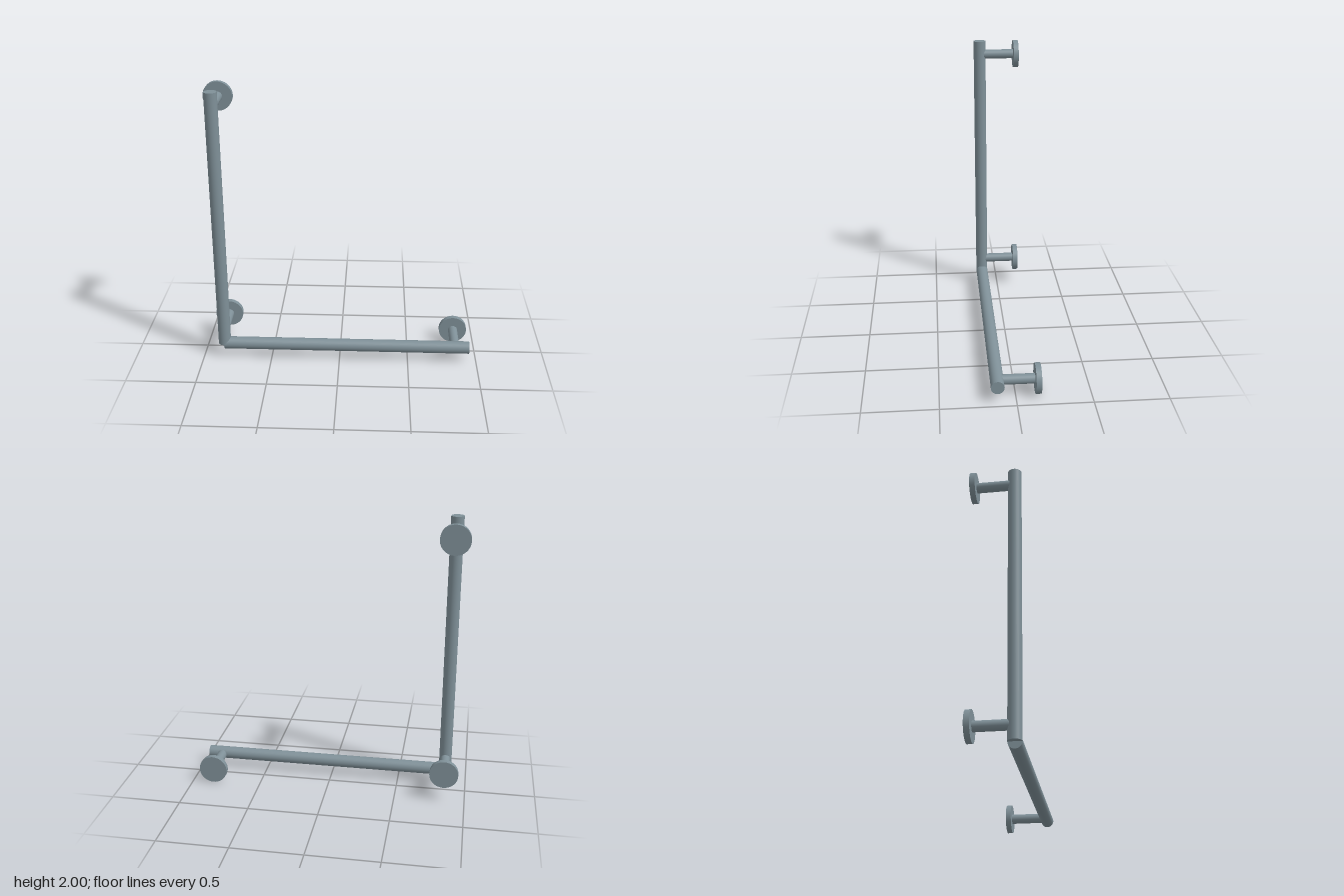
import * as THREE from 'three';

export function createModel() {
  const group = new THREE.Group();
  group.name = 'cornerGrabBar';
  const steel = new THREE.MeshStandardMaterial({ color: 0x7f9098 });
  steel.name = 'blue grey steel';

  // Capped round bar between two points
  function rod(name, from, to, radius, sides) {
    const a = new THREE.Vector3(...from), b = new THREE.Vector3(...to);
    const dir = b.clone().sub(a);
    const mesh = new THREE.Mesh(new THREE.CylinderGeometry(radius, radius, dir.length(), sides), steel);
    mesh.name = name;
    mesh.position.copy(a).add(b).multiplyScalar(0.5);
    mesh.quaternion.setFromUnitVectors(new THREE.Vector3(0, 1, 0), dir.normalize());
    return mesh;
  }

  const cornerX = -0.847, barY = 0.104, barZ = 0.122;
  const flangeBack = -0.167, flangeFront = -0.13;

  // Rails meeting at the lower corner
  group.add(rod('verticalRail', [cornerX, barY, barZ], [cornerX, 2, barZ], 0.045, 32));
  group.add(rod('horizontalRail', [cornerX, barY, barZ], [0.947, barY, barZ], 0.045, 32));

  // Wall mounts: a short post and a round flange
  const mounts = [
    ['upperMount', cornerX, 1.9],
    ['lowerMount', cornerX, 0.207],
    ['sideMount', 0.845, 0.102],
  ];
  for (const [name, x, y] of mounts) {
    const mount = new THREE.Group();
    mount.name = name;
    mount.add(rod('post', [x, y, flangeFront - 0.01], [x, y, barZ - 0.02], 0.034, 32));
    mount.add(rod('wallFlange', [x, y, flangeBack], [x, y, flangeFront], 0.102, 48));
    group.add(mount);
  }
  return group;
}
